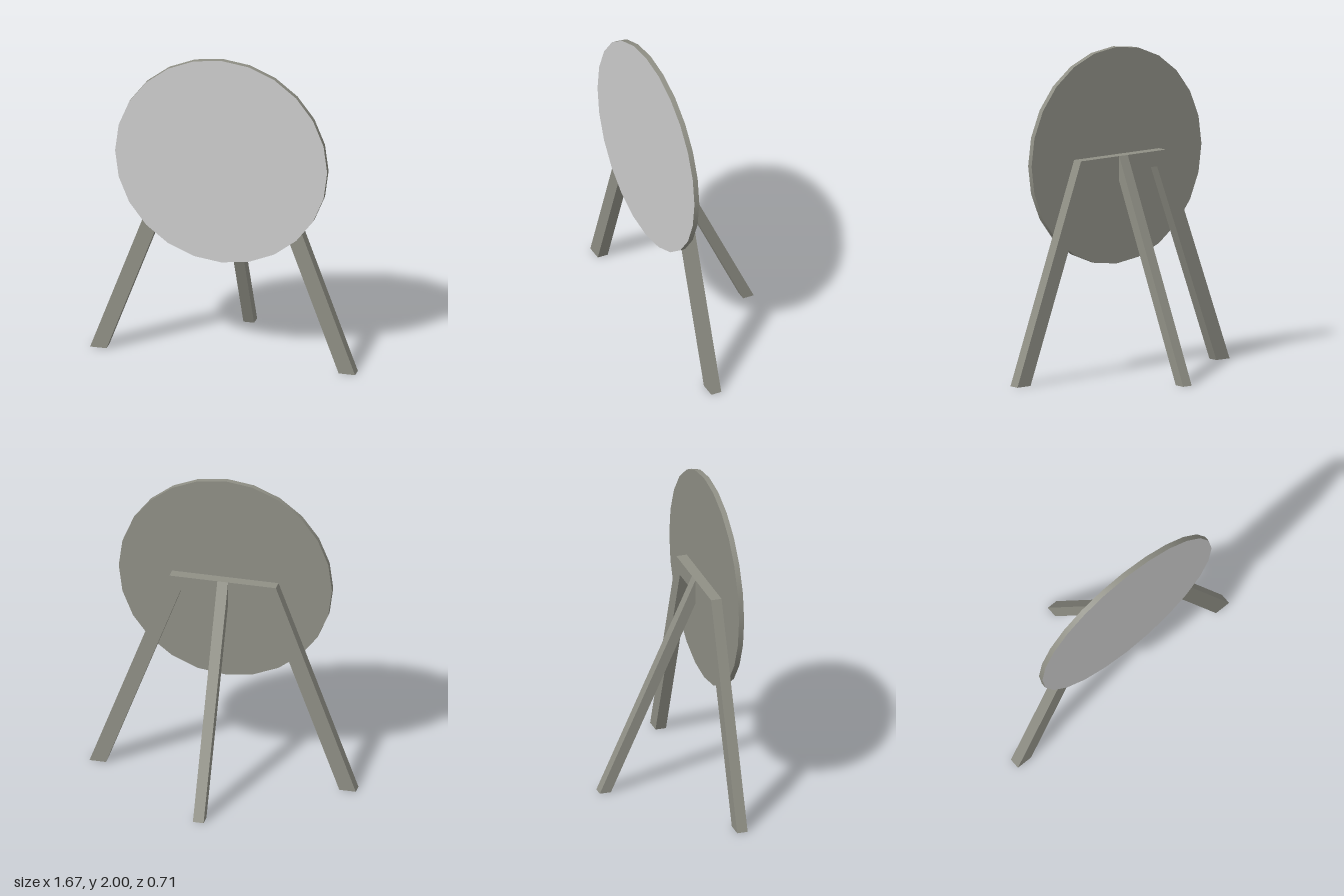
import * as THREE from 'three';

export function createModel() {
  const model = new THREE.Group();
  const wood = new THREE.MeshStandardMaterial({ name: 'grey frame', color: 0x8f8f85 });
  const face = new THREE.MeshStandardMaterial({ name: 'pale face', color: 0xcccccc });

  // Extrudes an outline given as [x, y] corners
  const extrude = (name, points, depth) => {
    const shape = new THREE.Shape(points.map(([x, y]) => new THREE.Vector2(x, y)));
    const geometry = new THREE.ExtrudeGeometry(shape, { depth, bevelEnabled: false });
    const mesh = new THREE.Mesh(geometry, wood);
    mesh.name = name;
    model.add(mesh);
    return mesh;
  };

  // Front trestle: two splayed legs joined by a crossbar
  const frame = extrude('frontFrame', [
    [-0.833, 0], [-0.73, 0], [-0.264, 1.245], [0.264, 1.245],
    [0.73, 0], [0.833, 0], [0.333, 1.34], [-0.333, 1.34],
  ], 0.067);
  frame.position.z = 0.257;

  // Rear prop, sloping back from the crossbar (outline drawn in z and y)
  const prop = extrude('rearLeg', [
    [0.257, 1.34], [-0.355, 0], [-0.284, 0], [0.257, 1.185],
  ].map(([z, y]) => [-z, y]), 0.067);
  prop.rotation.y = Math.PI / 2;
  prop.position.x = -0.0335;

  // Round board with a pale front; cylinder groups are side, front, back
  const geometry = new THREE.CylinderGeometry(0.667, 0.667, 0.033, 24);
  const board = new THREE.Mesh(geometry, [wood, face, wood]);
  board.name = 'roundBoard';
  board.rotation.x = Math.PI / 2;
  board.position.set(0, 1.333, 0.3405);
  model.add(board);

  return model;
}
